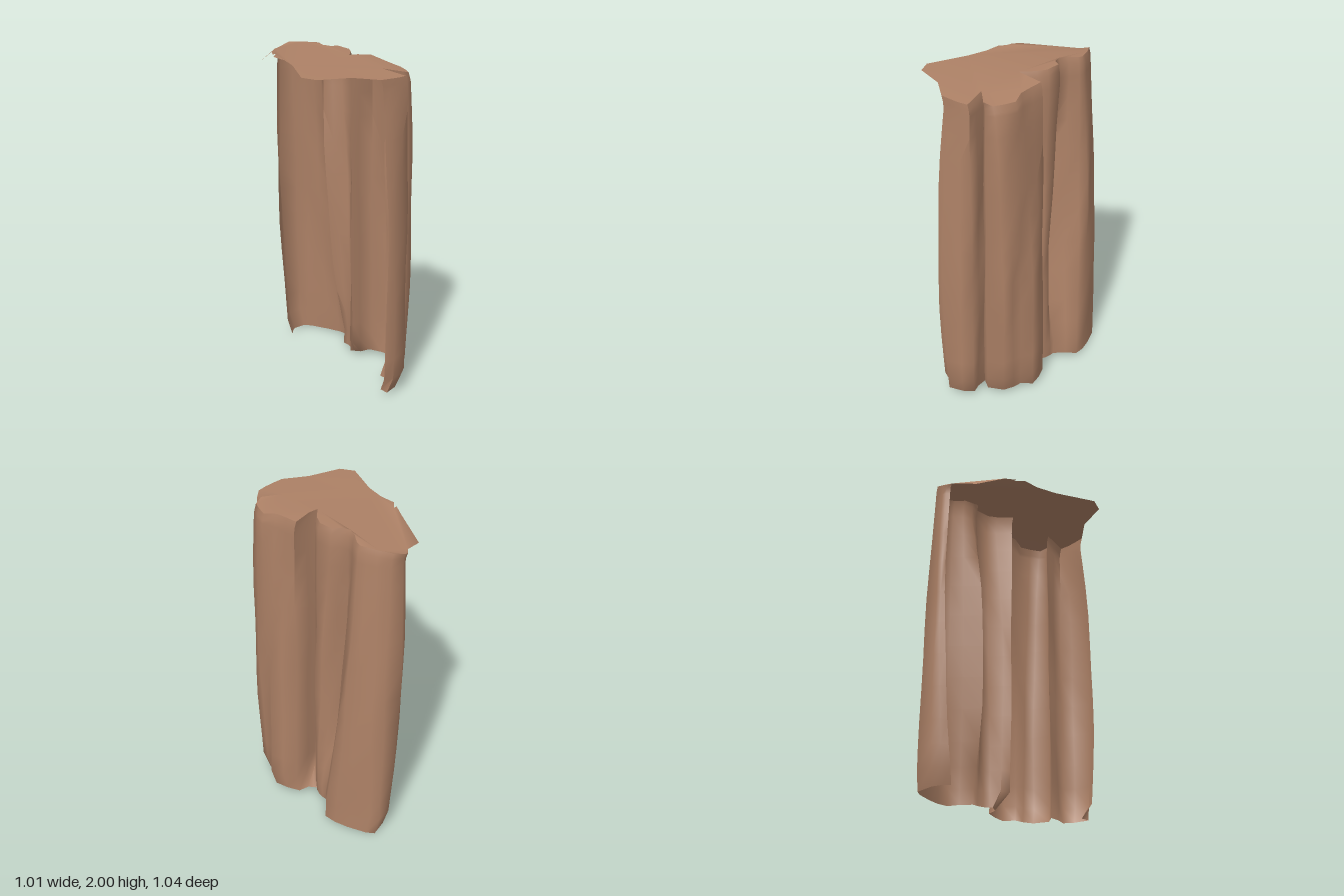
import * as THREE from 'three';
import { toCreasedNormals } from 'three/addons/utils/BufferGeometryUtils.js';

// Plan outlines [x, z] of the rock face near its foot, at mid height and near its top
const FOOT = [
  [-.39, -.32], [-.40, -.37], [-.405, -.43], [-.36, -.52], [-.30, -.52], [-.17, -.49], [-.08, -.46], [-.01, -.42],
  [0, -.35], [.01, -.27], [.04, -.25], [.07, -.22], [.09, -.185], [.085, -.12], [.115, -.07], [.155, -.12],
  [.21, -.21], [.30, -.19], [.385, -.155], [.385, -.08], [.43, -.04], [.47, .02], [.45, .12], [.37, .145],
  [.43, .18], [.50, .20], [.50, .27], [.465, .36], [.415, .385],
];
const MIDDLE = [
  [-.45, -.36], [-.455, -.39], [-.45, -.42], [-.37, -.50], [-.30, -.50], [-.21, -.48], [-.14, -.46], [-.11, -.41],
  [-.10, -.32], [-.085, -.20], [-.03, -.225], [.04, -.24], [.08, -.20], [.09, -.11], [.10, -.06], [.14, -.11],
  [.20, -.20], [.29, -.18], [.36, -.14], [.40, -.08], [.46, -.03], [.495, .02], [.47, .12], [.36, .14],
  [.42, .165], [.50, .20], [.495, .27], [.465, .375], [.43, .405],
];
const TOP = [
  [-.445, -.35], [-.45, -.375], [-.44, -.40], [-.38, -.455], [-.30, -.445], [-.24, -.43], [-.19, -.415], [-.17, -.39],
  [-.15, -.33], [-.12, -.28], [-.07, -.26], [-.02, -.28], [.06, -.22], [.085, -.16], [.10, -.06], [.14, -.10],
  [.20, -.19], [.26, -.14], [.33, -.085], [.41, -.06], [.45, 0], [.48, .06], [.46, .115], [.34, .135],
  [.42, .17], [.49, .20], [.46, .255], [.41, .32], [.38, .355],
];
// Free edge of the ledge, from the front end of the face round to its back end
const LEDGE = [
  [.21, .405], [.04, .52], [-.055, .50], [-.13, .35], [-.17, .27], [-.25, .165],
  [-.335, .10], [-.34, .03], [-.355, .05], [-.38, -.02], [-.505, -.17],
];
const LEVELS = [.12, .25, .4, .6, .8, 1, 1.2, 1.4, 1.6, 1.75, 1.88];

// Height of the gently domed top, sagging at its corners, lobes and free edge
const topHeight = (x, z) =>
  2 - .1 * (x + .15) ** 2 - 1.1 * Math.max(0, -x - .42) - .05 * Math.max(0, z)
  - .2 * Math.max(0, x - z - .3) - .15 * Math.max(0, -z - .3);

// Smooth blend through the three outlines, with a slight weathered waver
function outlineAt(y, j) {
  const t = (y - .12) / 1.76;
  const a = 2 * (t - .5) * (t - 1), b = 4 * t * (1 - t), c = 2 * t * (t - .5);
  const waver = .005 * Math.sin(j * 2.3 + y * 6) * Math.sin(Math.PI * t);
  const at = k => a * FOOT[j][k] + b * MIDDLE[j][k] + c * TOP[j][k];
  return [at(0) + waver, at(1) - waver];
}

// Upper rim, drawn in a little so the face rounds over into the ledge
const rim = TOP.map(([x, z]) => [x - .012, z + .012]);

function faceGeometry() {
  const n = FOOT.length;
  const rows = [];
  // bottom rim: tucked in, groove filled, and cut back at the front end
  rows.push(FOOT.map(([x, z], j) => {
    const foot = j > 12 && j < 16 ? -.165 : z;
    return [x * .92, .02 - .13 * Math.max(0, -z - .37), foot - (j === n - 1 ? .06 : 0)];
  }));
  for (const y of LEVELS) {
    rows.push(FOOT.map((_, j) => {
      const [x, z] = outlineAt(y, j);
      return [x, y, z];
    }));
  }
  rows.push(TOP.map(([x, z]) => [x - .003, topHeight(x, z) - .035, z + .003]));
  rows.push(rim.map(([x, z]) => [x, topHeight(x, z), z]));

  const index = [];
  for (let i = 0; i < rows.length - 1; i++) {
    for (let j = 0; j < n - 1; j++) {
      const a = i * n + j, b = a + 1, c = a + n, d = c + 1;
      index.push(a, c, b, b, c, d);
    }
  }
  const geometry = new THREE.BufferGeometry();
  geometry.setAttribute('position', new THREE.Float32BufferAttribute(rows.flat(2), 3));
  geometry.setIndex(index);
  return toCreasedNormals(geometry, THREE.MathUtils.degToRad(85));
}

function ledgeGeometry() {
  const shape = new THREE.Shape([...rim, ...LEDGE].map(([x, z]) => new THREE.Vector2(x, -z)));
  const geometry = new THREE.ShapeGeometry(shape).rotateX(-Math.PI / 2);
  const p = geometry.attributes.position;
  for (let i = 0; i < p.count; i++) p.setY(i, topHeight(p.getX(i), p.getZ(i)));
  geometry.computeVertexNormals();
  return geometry;
}

export function createModel() {
  const rock = new THREE.MeshStandardMaterial({ color: 0xad8166, side: THREE.DoubleSide });
  rock.name = 'brown rock';
  const group = new THREE.Group();
  group.name = 'cliff';
  const add = (name, geometry) => {
    const mesh = new THREE.Mesh(geometry, rock);
    mesh.name = name;
    group.add(mesh);
  };
  add('cliffFace', faceGeometry());
  add('topLedge', ledgeGeometry());
  return group;
}
